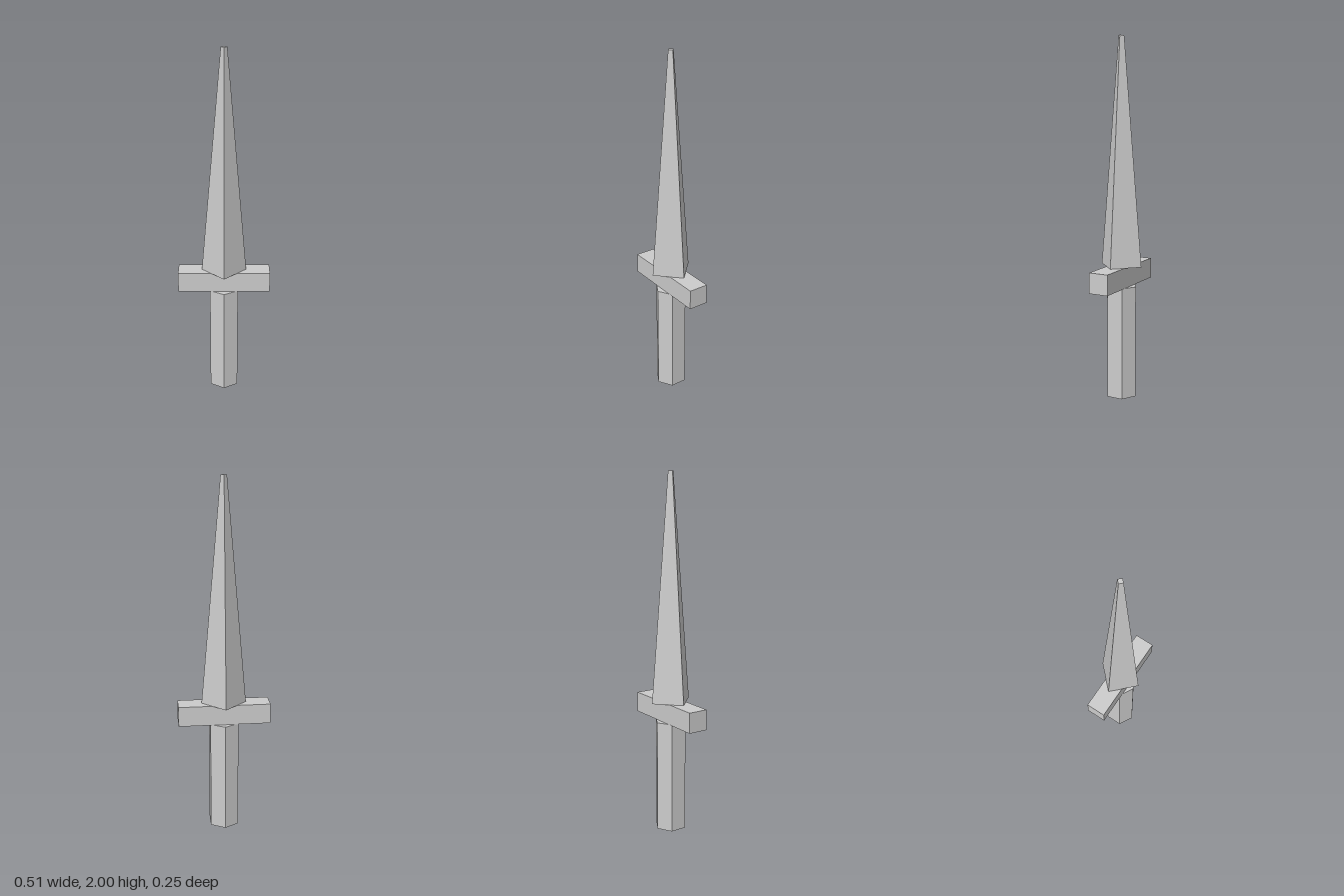
import * as THREE from 'three';

export function createModel() {
  const group = new THREE.Group();
  const material = new THREE.MeshStandardMaterial({ color: 0xcccccc, flatShading: true });

  // Adds a part spanning from height y0 to y1
  function addPart(name, geometry, y0, y1) {
    const mesh = new THREE.Mesh(geometry, material);
    mesh.name = name;
    mesh.position.y = (y0 + y1) / 2;
    group.add(mesh);
  }

  const gripTop = 0.633, guardTop = 0.747, tip = 2;

  // Six-sided grip with an edge facing front
  addPart('grip', new THREE.CylinderGeometry(0.091, 0.091, gripTop, 6), 0, gripTop);

  // Straight crossguard
  addPart('crossguard', new THREE.BoxGeometry(0.515, guardTop - gripTop, 0.112), gripTop, guardTop);

  // Four-sided tapering blade with a blunt tip
  addPart('blade', new THREE.CylinderGeometry(0.017, 0.125, tip - guardTop, 4), guardTop, tip);

  return group;
}
